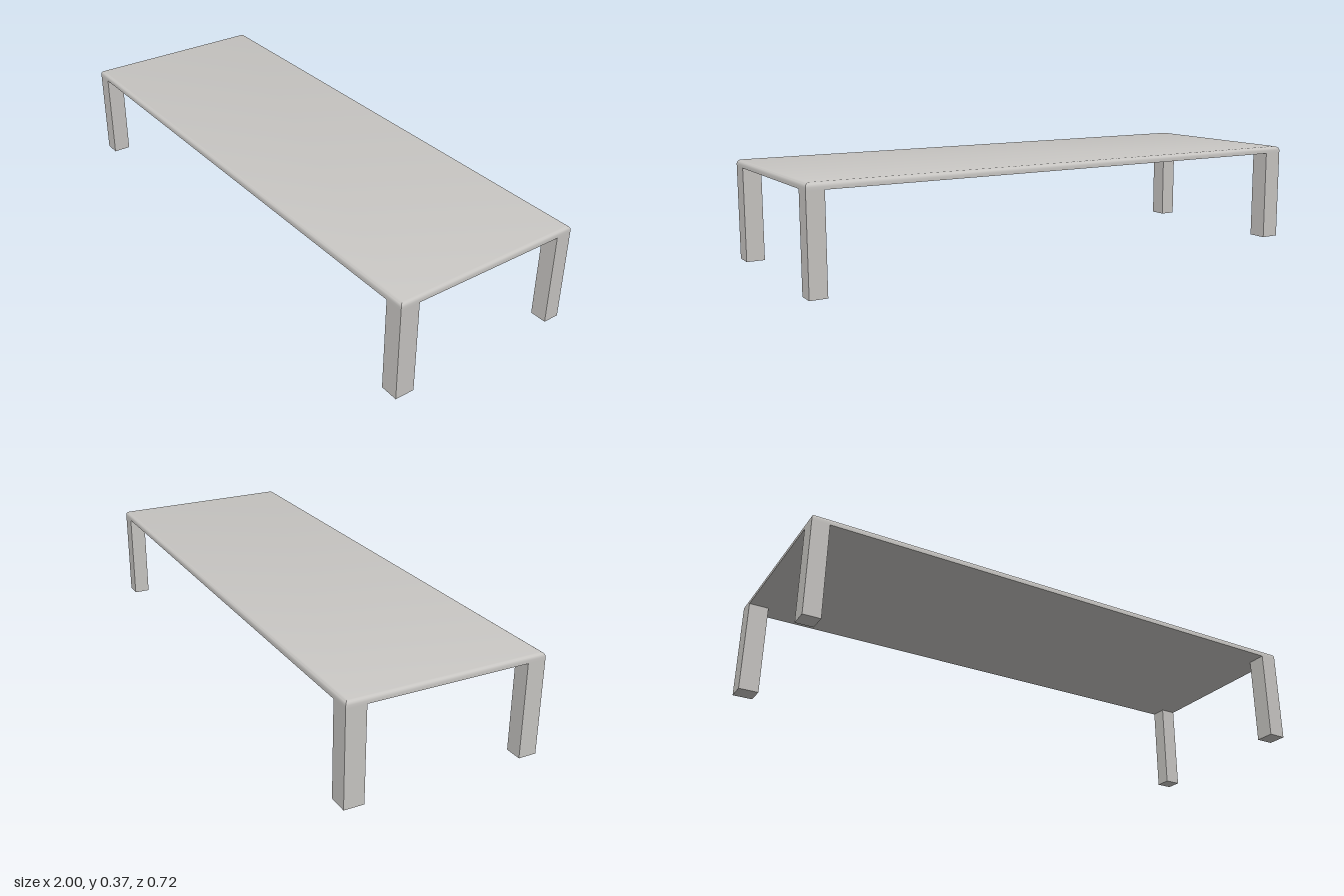
import * as THREE from 'three';
import { toCreasedNormals } from 'three/addons/utils/BufferGeometryUtils.js';

const HALF_X = 1, HALF_Z = 0.36, UNDERSIDE = 0.343, TOP = 0.368, ROUND = 0.015;

// Slab from stacked rectangles: flat underside, straight edge, rounded upper edge
function slabGeometry() {
  const steps = 5;
  const rings = [[0, UNDERSIDE]];
  for (let i = 0; i <= steps; i++) {
    const a = (i / steps) * Math.PI / 2;
    rings.push([ROUND * (1 - Math.cos(a)), TOP - ROUND + ROUND * Math.sin(a)]);
  }
  const corners = [[1, 1], [1, -1], [-1, -1], [-1, 1]];
  const positions = [], index = [];
  for (const [inset, y] of rings) {
    for (const [sx, sz] of corners) positions.push(sx * (HALF_X - inset), y, sz * (HALF_Z - inset));
  }
  for (let r = 0; r < rings.length - 1; r++) {
    for (let i = 0; i < 4; i++) {
      const a = r * 4 + i, b = r * 4 + (i + 1) % 4;
      index.push(a, b, b + 4, a, b + 4, a + 4);
    }
  }
  const t = (rings.length - 1) * 4;
  index.push(t, t + 1, t + 2, t, t + 2, t + 3); // top
  index.push(0, 2, 1, 0, 3, 2); // underside
  const geometry = new THREE.BufferGeometry();
  geometry.setAttribute('position', new THREE.Float32BufferAttribute(positions, 3));
  geometry.setIndex(index);
  return toCreasedNormals(geometry, Math.PI / 6);
}

export function createModel() {
  const model = new THREE.Group();
  model.name = 'lowTable';
  const grey = new THREE.MeshStandardMaterial({ color: 0xc8c6c3 });
  grey.name = 'warm grey';

  const top = new THREE.Mesh(slabGeometry(), grey);
  top.name = 'tableTop';
  model.add(top);

  // Legs flush with the outer corners: name, x side, z side, width, depth
  const legs = [
    ['frontLeftLeg', 1, 1, 0.067, 0.072],
    ['frontRightLeg', -1, 1, 0.062, 0.067],
    ['backRightLeg', -1, -1, 0.072, 0.072],
    ['backLeftLeg', 1, -1, 0.062, 0.061],
  ];
  for (const [name, sx, sz, width, depth] of legs) {
    const leg = new THREE.Mesh(new THREE.BoxGeometry(width, UNDERSIDE, depth), grey);
    leg.position.set(sx * (HALF_X - width / 2), UNDERSIDE / 2, sz * (HALF_Z - depth / 2));
    leg.name = name;
    model.add(leg);
  }
  return model;
}
